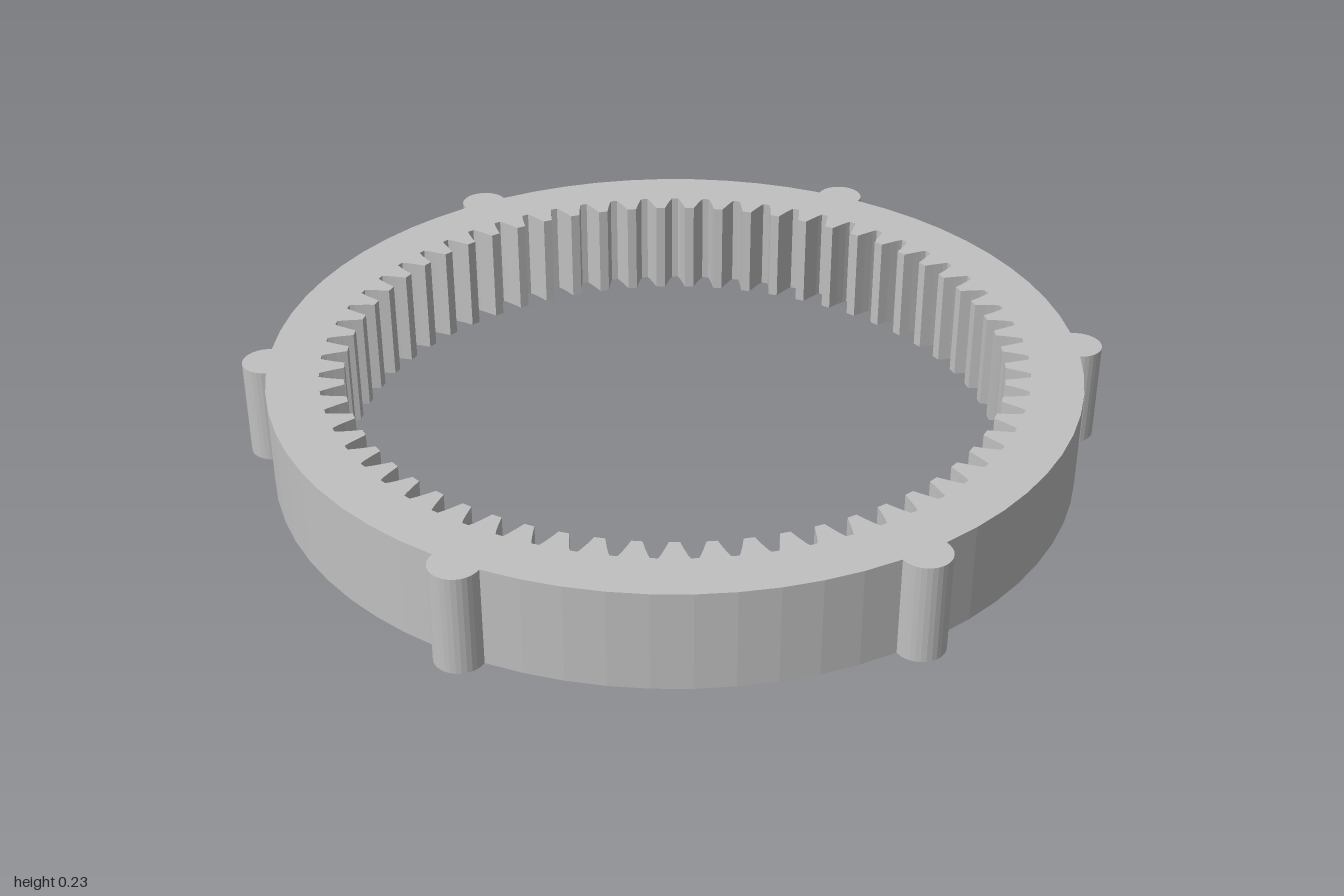
import * as THREE from 'three';

const HEIGHT = 0.235;
const OUTER = 0.943, LUG_DIST = 0.947, LUG_R = 0.056, LUG_COUNT = 6;
const LUG_START = THREE.MathUtils.degToRad(5.2);
const TEETH = 63, TIP = 0.765, MID = 0.79, ROOT = 0.822;

const polar = (r, a) => new THREE.Vector2(r * Math.cos(a), r * Math.sin(a));

// Outer outline: six arcs of the rim joined by round lugs
function outerOutline() {
  const points = [];
  const half = Math.acos((LUG_DIST ** 2 + OUTER ** 2 - LUG_R ** 2) / (2 * LUG_DIST * OUTER));
  const lugHalf = Math.atan2(OUTER * Math.sin(half), OUTER * Math.cos(half) - LUG_DIST);
  const step = (Math.PI * 2) / LUG_COUNT, lugSegs = 16, rimSegs = 10;
  for (let i = 0; i < LUG_COUNT; i++) {
    const a = LUG_START + i * step;
    const centre = polar(LUG_DIST, a);
    for (let j = 0; j <= lugSegs; j++) {
      points.push(polar(LUG_R, a - lugHalf + (2 * lugHalf * j) / lugSegs).add(centre));
    }
    for (let j = 1; j < rimSegs; j++) {
      points.push(polar(OUTER, a + half + ((step - 2 * half) * j) / rimSegs));
    }
  }
  return points;
}

// Inner outline: inward teeth, one centred on the back
function toothOutline() {
  const profile = [
    [-0.4, ROOT], [-0.34, 0.811], [-0.25, MID], [-0.15, TIP],
    [0.15, TIP], [0.25, MID], [0.34, 0.811], [0.4, ROOT],
  ];
  const pitch = (Math.PI * 2) / TEETH;
  const points = [];
  for (let i = 0; i < TEETH; i++) {
    for (const [t, r] of profile) points.push(polar(r, Math.PI / 2 + (i + t) * pitch));
  }
  return points;
}

export function createModel() {
  const model = new THREE.Group();
  model.name = 'ringGear';
  const grey = new THREE.MeshStandardMaterial({ color: 0xc0c0c0 });
  grey.name = 'light grey';

  const shape = new THREE.Shape(outerOutline());
  shape.holes.push(new THREE.Path(toothOutline()));
  const geometry = new THREE.ExtrudeGeometry(shape, { depth: HEIGHT, bevelEnabled: false });
  geometry.rotateX(-Math.PI / 2);

  const ring = new THREE.Mesh(geometry, grey);
  ring.name = 'toothedRing';
  model.add(ring);
  return model;
}
